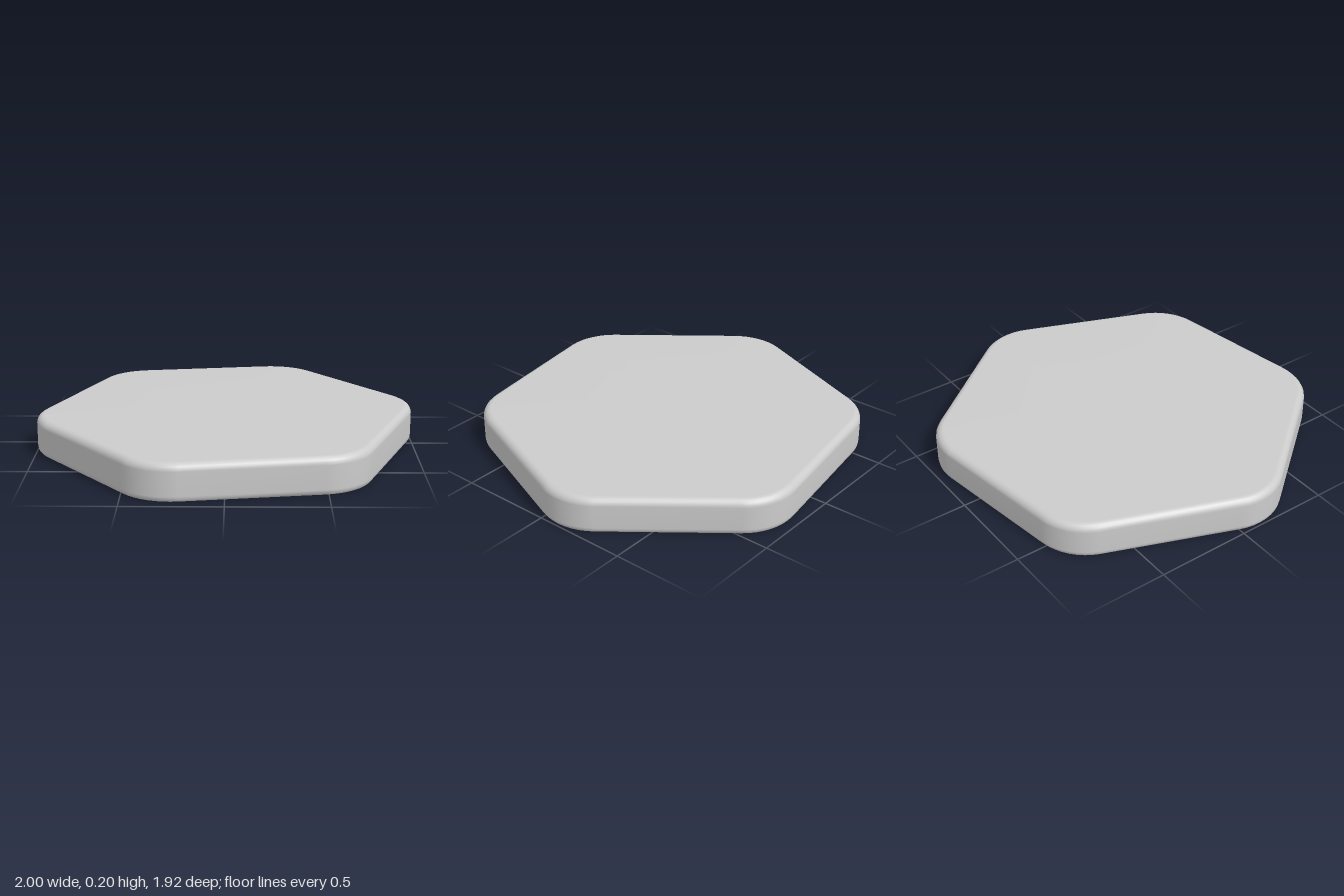
import * as THREE from 'three';

const APOTHEM = 0.913, CORNER = 0.3, TURN = -8.5 * Math.PI / 180, ARC_STEPS = 8;

// Rounded hexagon outline, drawn in by `inset`, at height y
function hexRing(inset, y) {
  const ring = [];
  const reach = (APOTHEM - CORNER) / Math.cos(Math.PI / 6);
  const r = CORNER - inset;
  for (let k = 0; k < 6; k++) {
    const tip = TURN + k * Math.PI / 3;
    for (let s = 0; s <= ARC_STEPS; s++) {
      const a = tip + (s / ARC_STEPS - 0.5) * Math.PI / 3;
      ring.push([reach * Math.cos(tip) + r * Math.cos(a), y, reach * Math.sin(tip) + r * Math.sin(a)]);
    }
  }
  return ring;
}

// Skin the rings from the bottom rim upward, then close with a shallow crown
function skin(profile, apexY) {
  const rings = profile.map(([inset, y]) => hexRing(inset, y));
  const n = rings[0].length;
  const points = [...rings.flat(), [0, apexY, 0]];
  const index = [];
  for (let j = 0; j < n; j++) {
    const k = (j + 1) % n;
    for (let i = 0; i < rings.length - 1; i++) {
      const a = i * n, b = a + n;
      index.push(a + j, b + j, a + k, b + j, b + k, a + k);
    }
    const last = (rings.length - 1) * n;
    index.push(last + j, points.length - 1, last + k);
  }
  const geometry = new THREE.BufferGeometry();
  geometry.setAttribute('position', new THREE.Float32BufferAttribute(points.flat(), 3));
  geometry.setIndex(index);
  geometry.computeVertexNormals();
  return geometry;
}

export function createModel() {
  const group = new THREE.Group();
  group.name = 'hexagonalLid';

  // Profile as [inset, height]: curled rim, upright wall, rounded shoulder
  const profile = [[0.025, 0], [0.012, 0.005], [0.003, 0.016], [0, 0.032]];
  profile.push([0, 0.155]);
  const shoulder = 0.04;
  for (let s = 1; s <= 5; s++) {
    const a = s / 5 * Math.PI / 2;
    profile.push([shoulder * (1 - Math.cos(a)), 0.155 + shoulder * Math.sin(a)]);
  }

  // Thin open-bottomed shell
  const shell = new THREE.Mesh(
    skin(profile, 0.202),
    new THREE.MeshStandardMaterial({ color: 0xcccccc, side: THREE.DoubleSide })
  );
  shell.name = 'shell';
  group.add(shell);
  return group;
}
